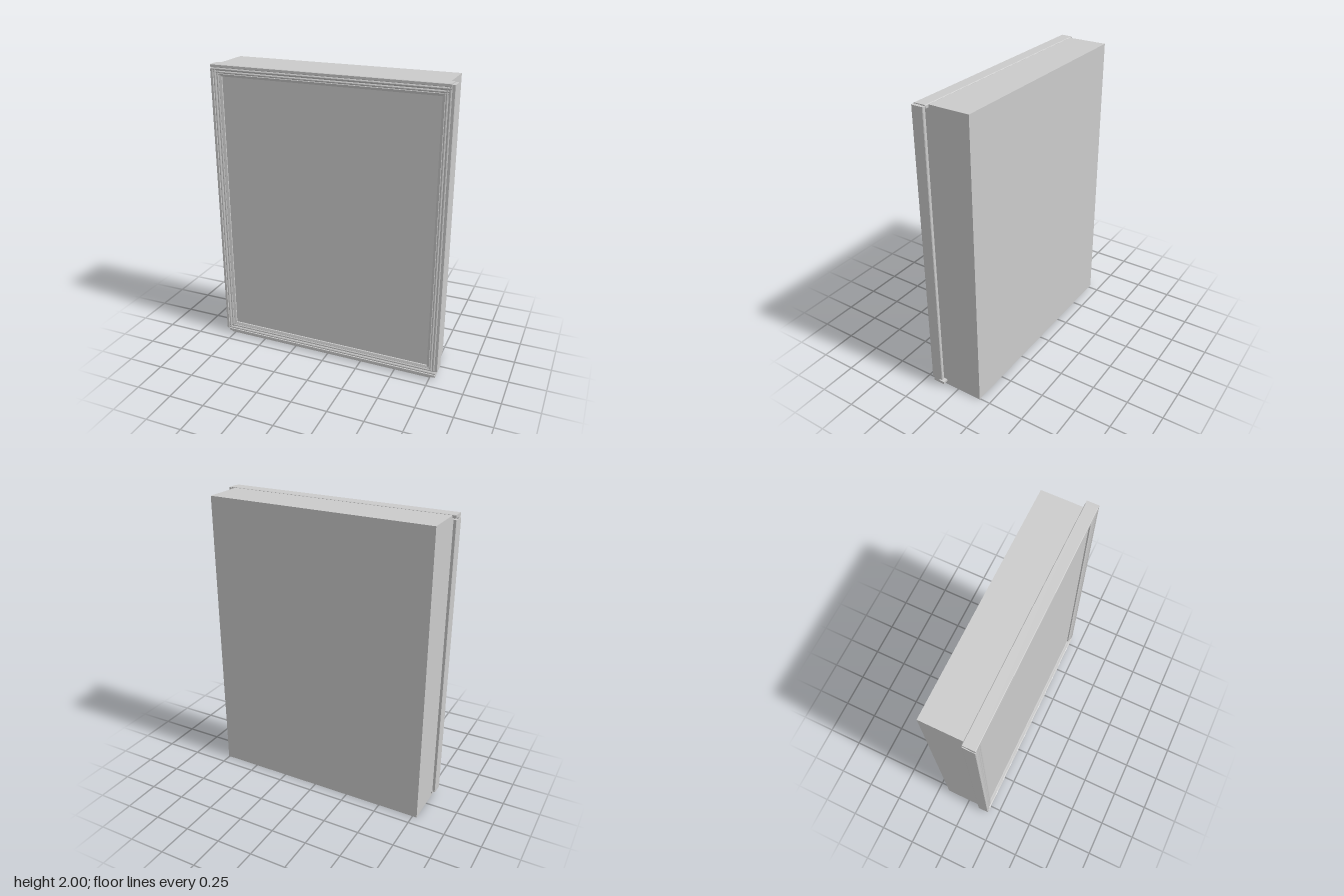
import * as THREE from 'three';

export function createModel() {
  const group = new THREE.Group();
  const mat = new THREE.MeshStandardMaterial({ color: 0xcccccc, flatShading: true });
  const add = (name, geo) => {
    const mesh = new THREE.Mesh(geo, mat);
    mesh.name = name;
    group.add(mesh);
    return mesh;
  };

  // Moulding section: [distance in from the outer edge, z]
  const profile = [[0, 0.098], [0, 0.172], [0.003, 0.175], [0.018, 0.175]];
  const bead = (from, to, z, rise) => {
    for (let i = 0; i <= 6; i++) {
      const t = i / 6;
      profile.push([from + (to - from) * t, z + rise * Math.sin(Math.PI * t)]);
    }
  };
  bead(0.021, 0.038, 0.169, 0.005);
  bead(0.041, 0.058, 0.166, 0.005);
  profile.push([0.061, 0.169], [0.077, 0.164], [0.077, 0.13], [0.02, 0.13], [0.02, 0.094], [0.003, 0.094]);

  // Straight rails cut from that section
  const rail = (name, outer, inward, start, end, vertical) => {
    const points = profile.map(([u, z]) => vertical
      ? new THREE.Vector2(outer + inward * u, -z)
      : new THREE.Vector2(-z, outer + inward * u));
    const geo = new THREE.ExtrudeGeometry(new THREE.Shape(points), { depth: end - start, bevelEnabled: false });
    geo.translate(0, 0, start);
    if (vertical) geo.rotateX(-Math.PI / 2);
    else geo.rotateY(Math.PI / 2);
    add(name, geo);
  };

  // Deep box behind the frame
  const body = add('cabinetBody', new THREE.BoxGeometry(1.535, 1.996, 0.33));
  body.position.set(-0.0125, 0.998, -0.01);

  rail('rightRail', -0.807, 1, 0.04, 1.97, true);
  rail('leftRail', 0.805, -1, 0.07, 1.995, true);
  rail('topRail', 2, -1, -0.803, 0.782, false);
  rail('bottomRail', 0.02, 1, -0.787, 0.79, false);

  return group;
}
